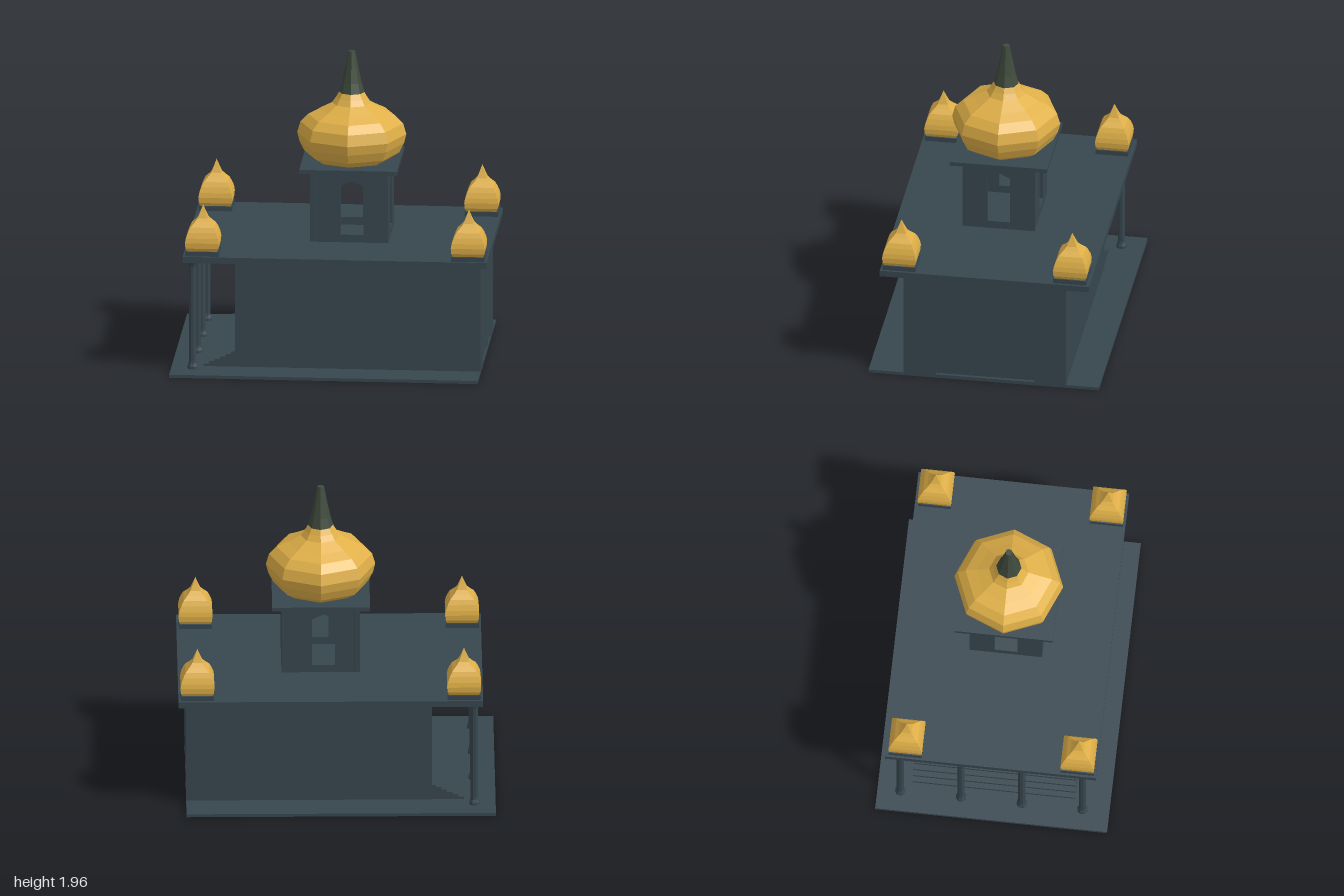
import * as THREE from 'three';

export function createModel() {
  const model = new THREE.Group();
  model.name = 'domedPavilion';
  const paint = (color) => new THREE.MeshStandardMaterial({ color, flatShading: true, side: THREE.DoubleSide });
  const slate = paint(0x37474f), gold = paint(0xe0b048), dark = paint(0x3f4a3c);

  function add(name, geometry, material, x = 0, y = 0, z = 0) {
    const mesh = new THREE.Mesh(geometry, material);
    mesh.name = name;
    mesh.position.set(x, y, z);
    model.add(mesh);
    return mesh;
  }
  // box given by its limits on each axis
  function block(name, x0, x1, y0, y1, z0, z1) {
    return add(name, new THREE.BoxGeometry(x1 - x0, y1 - y0, z1 - z0), slate,
      (x0 + x1) / 2, (y0 + y1) / 2, (z0 + z1) / 2);
  }
  function lathe(name, profile, sides, material, x, y, z, turn = 0) {
    const points = profile.map(([r, h]) => new THREE.Vector2(r, h));
    return add(name, new THREE.LatheGeometry(points, sides, turn), material, x, y, z);
  }
  function rectangle(Type, u0, u1, v0, v1) {
    return new Type([[u0, v0], [u1, v0], [u1, v1], [u0, v1]].map(([u, v]) => new THREE.Vector2(u, v)));
  }
  // upright wall with holes; sideways walls run along z (u = -z)
  function wall(name, outline, holes, depth, x, y, z, sideways) {
    outline.holes.push(...holes);
    const geometry = new THREE.ExtrudeGeometry(outline, { depth, bevelEnabled: false, curveSegments: 8 });
    const mesh = add(name, geometry, slate, x, y, z);
    if (sideways) mesh.rotation.y = Math.PI / 2;
    return mesh;
  }

  // ground slab, hall and roof
  block('groundSlab', -1, 0.95, 0, 0.02, -0.735, 0.735);
  block('hallFrontWall', -0.6, 0.95, 0.02, 0.73, 0.49, 0.51);
  block('hallBackWall', -0.6, 0.95, 0.02, 0.73, -0.525, -0.505);
  block('hallFloor', -0.58, 0.93, 0.02, 0.12, -0.505, 0.49);
  block('roof', -0.92, 1, 0.73, 0.77, -0.68, 0.655);

  // porch wall with a pointed doorway
  const door = new THREE.Path();
  door.moveTo(-0.32, 0.12);
  door.lineTo(0.32, 0.12);
  door.lineTo(0.32, 0.25);
  door.quadraticCurveTo(0.27, 0.5, 0, 0.66);
  door.quadraticCurveTo(-0.27, 0.5, -0.32, 0.25);
  door.closePath();
  wall('doorwayWall', rectangle(THREE.Shape, -0.49, 0.505, 0.02, 0.73), [door], 0.02, -0.6, 0, 0, true);

  // far end wall with low slots
  wall('endWall', rectangle(THREE.Shape, -0.49, 0.505, 0.02, 0.73), [
    rectangle(THREE.Path, -0.305, 0.11, 0.024, 0.056),
    rectangle(THREE.Path, 0.115, 0.325, 0.024, 0.056),
  ], 0.02, 0.93, 0, 0, true);

  // porch stairs
  for (let i = 0; i < 6; i++) {
    const rise = 0.0163;
    block('stair', -0.8 + i * 0.035, -0.6, 0.02 + i * rise, 0.02 + (i + 1) * rise, -0.52, 0.51);
  }

  // porch columns
  const column = [[0.034, 0.02], [0.034, 0.035], [0.026, 0.055], [0.024, 0.07],
    [0.024, 0.68], [0.026, 0.695], [0.034, 0.715], [0.034, 0.73]];
  for (let i = 0; i < 4; i++) lathe('porchColumn', column, 8, slate, -0.865, 0, -0.59 + i * 0.385, Math.PI / 8);

  // square corner domes on plinths
  const smallDome = [[0, 0.8], [0.095, 0.8], [0.104, 0.82], [0.107, 0.855], [0.102, 0.885], [0.09, 0.92],
    [0.075, 0.95], [0.05, 0.977], [0.032, 1.0], [0.018, 1.035], [0, 1.085]]
    .map(([r, h]) => [r * Math.SQRT2, h]);
  for (const x of [-0.8, 0.88]) {
    for (const z of [-0.555, 0.535]) {
      block('cornerPlinth', x - 0.105, x + 0.105, 0.77, 0.8, z - 0.105, z + 0.105);
      lathe('cornerDome', smallDome, 4, gold, x, 0, z, Math.PI / 4);
    }
  }

  // tower walls with peaked windows
  function towerWall(name, u0, u1, centre, x, z, sideways) {
    const opening = new THREE.Path([[-0.073, 0.82], [0.073, 0.82], [0.073, 1.135], [0.03, 1.155],
      [0, 1.17], [-0.03, 1.155], [-0.073, 1.135]].map(([u, v]) => new THREE.Vector2(centre + u, v)));
    wall(name, rectangle(THREE.Shape, u0, u1, 0.77, 1.23), [opening], 0.037, x, 0, z, sideways);
  }
  towerWall('towerFrontWall', -0.112, 0.31, 0.117, 0, 0.193, false);
  towerWall('towerBackWall', -0.112, 0.31, 0.08, 0, -0.23, false);
  towerWall('towerRightWall', -0.23, 0.23, 0, -0.15, 0, true);
  towerWall('towerLeftWall', -0.23, 0.23, 0, 0.309, 0, true);
  block('towerCap', -0.212, 0.405, 1.23, 1.257, -0.317, 0.303);

  // eight-sided onion dome and spire
  lathe('mainDome', [[0, 1.257], [0.235, 1.257], [0.3, 1.3], [0.33, 1.36], [0.345, 1.42], [0.325, 1.49],
    [0.275, 1.54], [0.205, 1.575], [0.125, 1.62], [0.1, 1.655], [0.08, 1.69]], 8, gold, 0.097, 0, -0.008);
  lathe('spire', [[0.08, 1.69], [0.062, 1.755], [0.042, 1.85], [0.022, 1.957], [0, 1.957]], 8, dark, 0.097, 0, -0.008);

  return model;
}
